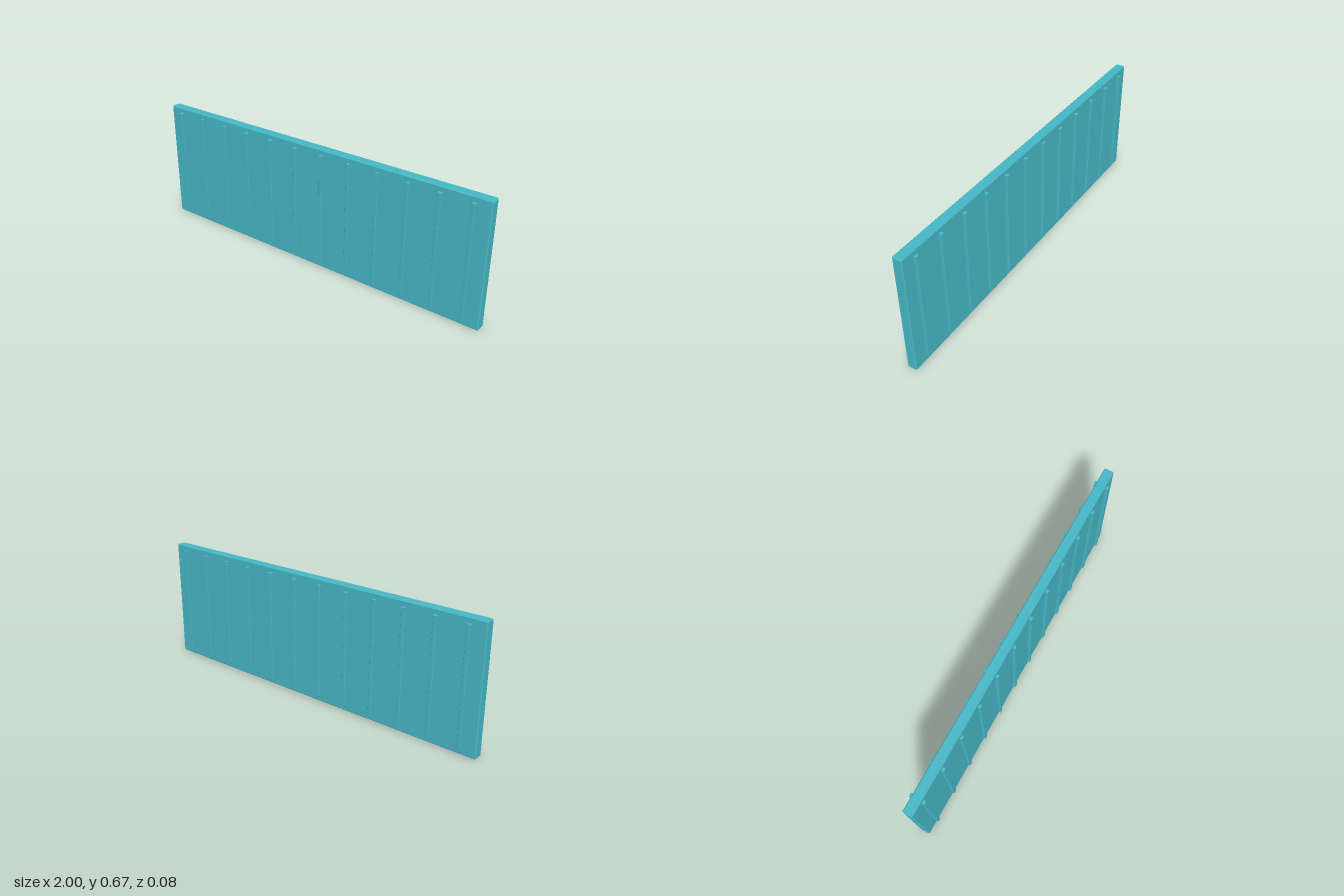
import * as THREE from 'three';
import { ConvexGeometry } from 'three/addons/geometries/ConvexGeometry.js';

// Box with every edge chamfered by c
function chamferBox(w, h, d, c) {
  const half = [w / 2, h / 2, d / 2];
  const points = [];
  for (const sx of [-1, 1]) for (const sy of [-1, 1]) for (const sz of [-1, 1]) {
    const sign = [sx, sy, sz];
    for (let axis = 0; axis < 3; axis++) {
      const p = half.map((v, i) => sign[i] * (i === axis ? v : v - c));
      points.push(new THREE.Vector3(...p));
    }
  }
  return new ConvexGeometry(points);
}

export function createModel() {
  const group = new THREE.Group();
  group.name = 'ribbedPanel';
  const material = new THREE.MeshStandardMaterial({ color: 0x45b5c4, flatShading: true });

  // Main slab
  const height = 0.666;
  const panel = new THREE.Mesh(chamferBox(2, height, 0.052, 0.005), material);
  panel.name = 'panel';
  panel.position.y = height / 2;
  group.add(panel);

  // Twelve evenly spaced vertical ribs on each face
  const count = 12;
  const ribGeometry = chamferBox(0.02, 0.61, 0.03, 0.002);
  for (const side of [1, -1]) {
    const ribs = new THREE.Group();
    ribs.name = side > 0 ? 'frontRibs' : 'backRibs';
    for (let i = 0; i < count; i++) {
      const rib = new THREE.Mesh(ribGeometry, material);
      rib.name = 'rib';
      rib.position.set(-1 + (i + 0.5) * 2 / count, 0.334, side * 0.025);
      ribs.add(rib);
    }
    group.add(ribs);
  }
  return group;
}
